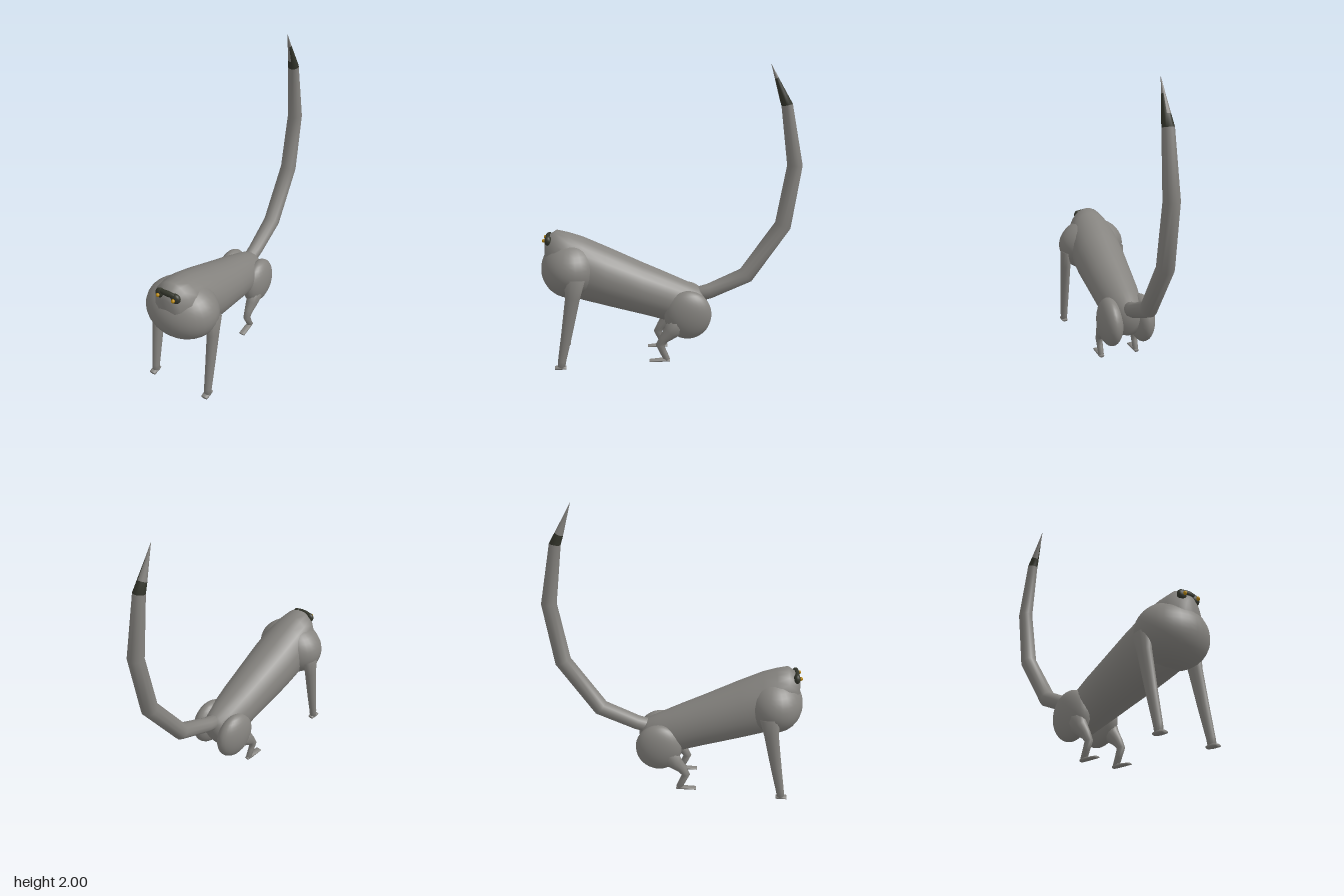
import * as THREE from 'three';

const fur = new THREE.MeshStandardMaterial({ color: 0x85837f });
fur.name = 'grey fur';
const dark = new THREE.MeshStandardMaterial({ color: 0x33352b });
dark.name = 'dark fur';
const gold = new THREE.MeshStandardMaterial({ color: 0xb8860b });
gold.name = 'gold eye';

// Smooth skin over rings [y, z, rx, ry] lying along a path in the plane x = x0.
// upright keeps every ring vertical; isDark(segment, cos) picks the dark material.
function loft(x0, rings, sides, { upright = false, isDark = null } = {}) {
  const pos = [], quads = [[], []];
  const n = rings.length;
  rings.forEach(([y, z, rx, ry = rx], i) => {
    const p = rings[Math.max(i - 1, 0)], q = rings[Math.min(i + 1, n - 1)];
    let ty = q[0] - p[0], tz = q[1] - p[1];
    const len = Math.hypot(ty, tz);
    ty = upright ? 0 : ty / len;
    tz = upright ? 1 : tz / len;
    for (let j = 0; j < sides; j++) {
      const a = ((j + 0.5) / sides) * Math.PI * 2;
      const s = ry * Math.sin(a);
      pos.push(x0 + rx * Math.cos(a), y + s * tz, z - s * ty);
    }
  });
  for (let i = 0; i < n - 1; i++) {
    for (let j = 0; j < sides; j++) {
      const a = i * sides + j, b = i * sides + ((j + 1) % sides);
      const c = Math.cos(((j + 1) / sides) * Math.PI * 2);
      const list = quads[isDark && isDark(i, c) ? 1 : 0];
      list.push(a, b, b + sides, a, b + sides, a + sides);
    }
  }
  // End caps
  const first = pos.length / 3, last = (n - 1) * sides;
  pos.push(x0, rings[0][0], rings[0][1], x0, rings[n - 1][0], rings[n - 1][1]);
  for (let j = 0; j < sides; j++) {
    const k = (j + 1) % sides;
    quads[0].push(first, k, j, first + 1, last + j, last + k);
  }
  const g = new THREE.BufferGeometry();
  g.setAttribute('position', new THREE.Float32BufferAttribute(pos, 3));
  g.setIndex([...quads[0], ...quads[1]]);
  g.addGroup(0, quads[0].length, 0);
  g.addGroup(quads[0].length, quads[1].length, 1);
  g.computeVertexNormals();
  return g;
}

export function createModel() {
  const model = new THREE.Group();
  model.name = 'animal';

  const add = (name, geometry, material) => {
    const m = new THREE.Mesh(geometry, material);
    m.name = name;
    model.add(m);
    return m;
  };
  const ball = (name, material, [x, y, z], [rx, ry, rz], seg = 20) => {
    const m = add(name, new THREE.SphereGeometry(1, seg, Math.ceil(seg * 0.7)), material);
    m.position.set(x, y, z);
    m.scale.set(rx, ry, rz);
    return m;
  };

  // Sloping torso, from [z, top, bottom, half width], rising into the small head
  const torso = [
    [-0.22, 0.46, 0.30, 0.06], [-0.18, 0.49, 0.24, 0.10], [-0.10, 0.53, 0.21, 0.13],
    [0.05, 0.60, 0.26, 0.152], [0.20, 0.668, 0.305, 0.165], [0.45, 0.787, 0.375, 0.185],
    [0.61, 0.86, 0.42, 0.185], [0.70, 0.89, 0.45, 0.175], [0.78, 0.91, 0.50, 0.15],
    [0.84, 0.87, 0.55, 0.10], [0.86, 0.83, 0.60, 0.06],
  ].map(([z, top, bottom, w]) => [(top + bottom) / 2, z, w, (top - bottom) / 2]);
  add('torso', loft(0, torso, 24, { upright: true }), fur);

  // Broad chest and shoulders
  ball('chest', fur, [0, 0.645, 0.69], [0.25, 0.2, 0.2], 28);

  // Long bent tail with an uneven dark band below the tip
  const tail = [
    [0.42, -0.12, 0.05], [0.455, -0.26, 0.052], [0.565, -0.515, 0.058],
    [0.915, -0.765, 0.057], [1.33, -0.835, 0.052], [1.735, -0.768, 0.038],
    [1.80, -0.738, 0.029], [1.91, -0.692, 0.013], [2.0, -0.655, 0.001],
  ];
  const band = (i, c) => i === 5 || (i === 6 && c > 0.05);
  add('tail', loft(0, tail, 12, { isDark: band }), [fur, dark]);

  for (const [side, s] of [['left', 1], ['right', -1]]) {
    // Straight front leg with a small foot
    add(side + 'FrontLeg', loft(s * 0.212, [
      [0.62, 0.655, 0.04, 0.07], [0.50, 0.67, 0.037, 0.05], [0.25, 0.715, 0.031, 0.038],
      [0.06, 0.752, 0.026, 0.028], [0.012, 0.758, 0.025, 0.026],
    ], 12), fur);
    add(side + 'FrontFoot', loft(s * 0.212, [
      [0.013, 0.725, 0.022, 0.01], [0.016, 0.76, 0.026, 0.016], [0.012, 0.80, 0.024, 0.01],
    ], 10, { upright: true }), fur);

    // Round haunch and crooked hind leg
    ball(side + 'Haunch', fur, [s * 0.115, 0.325, -0.1], [0.083, 0.168, 0.162], 24);
    add(side + 'HindLeg', loft(s * 0.132, [
      [0.28, -0.04, 0.055, 0.085], [0.21, 0.02, 0.042, 0.052], [0.165, 0.065, 0.03, 0.035],
      [0.12, 0.093, 0.024, 0.029], [0.07, 0.07, 0.021, 0.024], [0.014, 0.045, 0.02, 0.022],
    ], 12), fur);
    add(side + 'HindFoot', loft(s * 0.132, [
      [0.011, 0.025, 0.018, 0.01], [0.013, 0.07, 0.022, 0.013], [0.009, 0.165, 0.023, 0.007],
    ], 10, { upright: true }), fur);

    // Dark eye patch, gold eye
    ball(side + 'EyePatch', dark, [s * 0.056, 0.848, 0.833], [0.034, 0.035, 0.024], 14);
    ball(side + 'Eye', gold, [s * 0.056, 0.85, 0.86], [0.012, 0.013, 0.013], 10);
  }

  // Bridge of the mask across the brow
  ball('maskBridge', dark, [0, 0.868, 0.837], [0.07, 0.02, 0.017], 14);

  return model;
}
